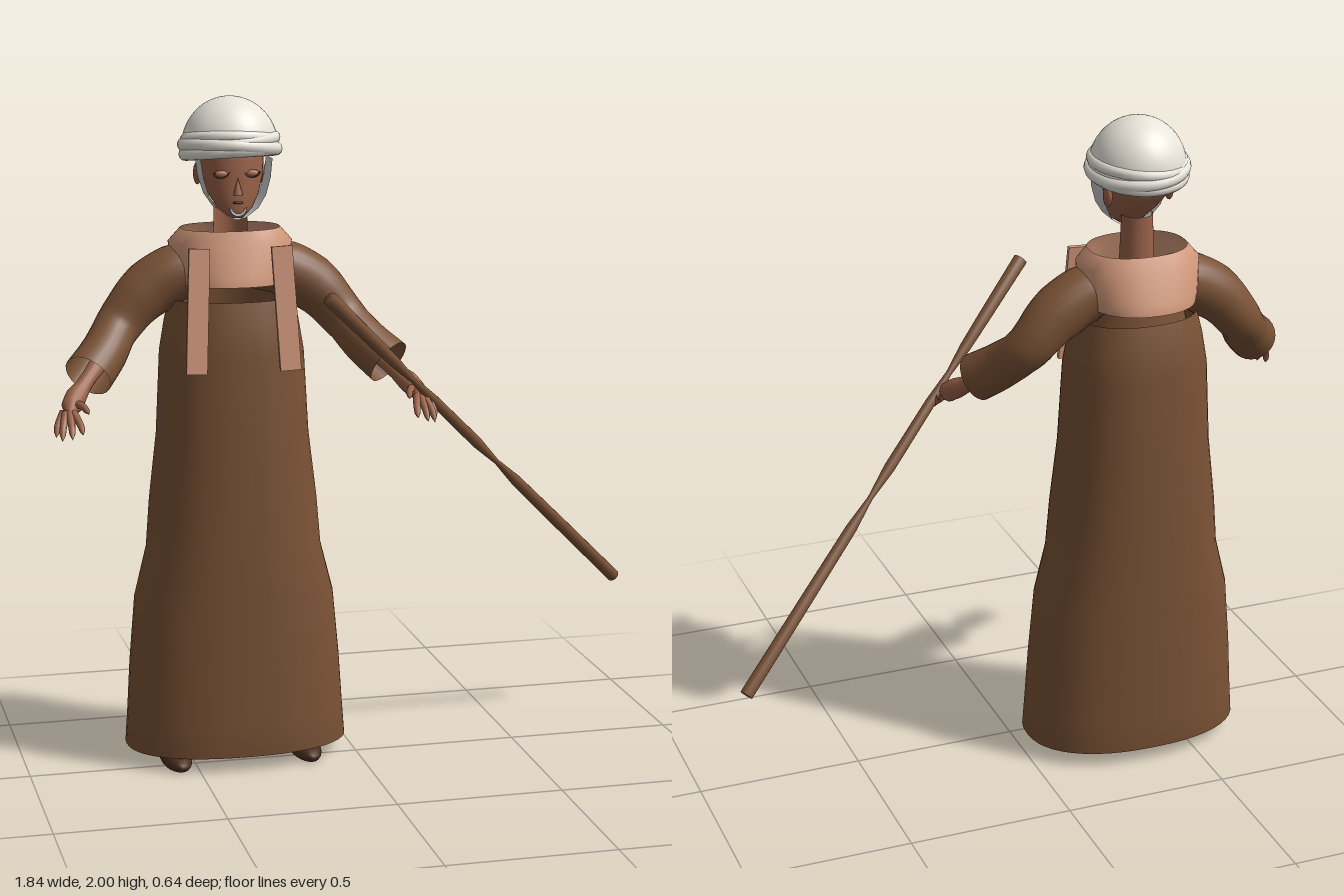
import * as THREE from 'three';

const V = (x, y, z) => new THREE.Vector3(x, y, z);
const COLORS = {
  robe: 0x7a5235, collar: 0xd49a7c, skin: 0x9a6248, cloth: 0xe8e4da,
  beard: 0xcfcfcf, shoe: 0x4a2e1f, wood: 0x7a5236, dark: 0x4a2a1c
};

function add(parent, name, geo, color) {
  const mat = new THREE.MeshStandardMaterial({ color: COLORS[color], side: THREE.DoubleSide });
  const mesh = new THREE.Mesh(geo, mat);
  mesh.name = name;
  parent.add(mesh);
  return mesh;
}

// Skin superellipse rings given as [y, halfWidth, zFront, zBack]
function loft(rows, { power = 2, seg = 40, capTop = false, capBottom = false } = {}) {
  const pos = [], idx = [];
  const bend = v => Math.sign(v) * Math.pow(Math.abs(v), 2 / power);
  for (const [y, hw, zf, zb] of rows) {
    for (let i = 0; i < seg; i++) {
      const a = (i / seg) * Math.PI * 2;
      pos.push(hw * bend(Math.cos(a)), y, (zf + zb) / 2 + (zf - zb) / 2 * bend(Math.sin(a)));
    }
  }
  for (let r = 0; r < rows.length - 1; r++) {
    for (let i = 0; i < seg; i++) {
      const a = r * seg + i, b = r * seg + (i + 1) % seg;
      idx.push(a, a + seg, b, b, a + seg, b + seg);
    }
  }
  const cap = (r, top) => {
    const c = pos.length / 3, [y, , zf, zb] = rows[r];
    pos.push(0, y, (zf + zb) / 2);
    for (let i = 0; i < seg; i++) {
      const a = r * seg + i, b = r * seg + (i + 1) % seg;
      if (top) idx.push(a, c, b); else idx.push(a, b, c);
    }
  };
  if (capTop) cap(rows.length - 1, true);
  if (capBottom) cap(0, false);
  const g = new THREE.BufferGeometry();
  g.setAttribute('position', new THREE.Float32BufferAttribute(pos, 3));
  g.setIndex(idx);
  g.computeVertexNormals();
  return g;
}

// Tube whose radius follows a list spread evenly along the path
function sweep(points, radii, n = 20, sides = 16) {
  const curve = new THREE.CatmullRomCurve3(points);
  const g = new THREE.TubeGeometry(curve, n, 1, sides);
  const p = g.attributes.position, v = V(0, 0, 0);
  for (let i = 0; i <= n; i++) {
    const c = curve.getPointAt(i / n);
    const t = (i / n) * (radii.length - 1), k = Math.min(Math.floor(t), radii.length - 2);
    const r = THREE.MathUtils.lerp(radii[k], radii[k + 1], t - k);
    for (let j = 0; j <= sides; j++) {
      const q = i * (sides + 1) + j;
      v.fromBufferAttribute(p, q).sub(c).multiplyScalar(r).add(c);
      p.setXYZ(q, v.x, v.y, v.z);
    }
  }
  return g;
}

function buildHead(figure) {
  const head = new THREE.Group();
  head.name = 'head';
  figure.add(head);
  add(head, 'face', loft([
    [1.655, 0.018, 0.012, -0.03], [1.68, 0.05, 0.014, -0.08], [1.72, 0.074, 0.012, -0.125],
    [1.77, 0.091, 0.01, -0.18], [1.82, 0.098, 0.008, -0.215], [1.89, 0.095, 0, -0.2]
  ], { power: 2.2, capTop: true, capBottom: true }), 'skin');
  const nose = add(head, 'nose', new THREE.ConeGeometry(0.014, 0.05, 10), 'skin');
  nose.position.set(0, 1.748, 0.014);
  const mouth = add(head, 'mouth', new THREE.SphereGeometry(0.018, 12, 8), 'dark');
  mouth.position.set(0, 1.7, 0.008);
  mouth.scale.set(1, 0.28, 0.5);
  const chin = add(head, 'chinBeard', new THREE.TorusGeometry(0.022, 0.004, 6, 20, Math.PI), 'beard');
  chin.position.set(0, 1.685, 0.016);
  chin.rotation.z = Math.PI;

  for (const s of [1, -1]) {
    const lid = add(head, 'closedEyelid', new THREE.SphereGeometry(0.022, 14, 10), 'skin');
    lid.position.set(s * 0.045, 1.782, -0.002);
    lid.scale.set(1.1, 0.55, 0.5);
    const lash = add(head, 'eyeLine', new THREE.TorusGeometry(0.024, 0.0025, 6, 16, Math.PI * 0.8), 'dark');
    lash.position.set(s * 0.045, 1.795, 0.005);
    lash.rotation.z = Math.PI * 1.1;
    lash.scale.y = 0.9;
    const ear = add(head, 'ear', new THREE.SphereGeometry(0.03, 14, 10), 'skin');
    ear.position.set(s * 0.096, 1.775, -0.11);
    ear.scale.set(0.4, 1.1, 0.75);

    // Thin side beard: rows of [x, y, zFront, zBack]
    const rows = [[0.106, 1.825, 0, -0.09], [0.099, 1.77, 0.006, -0.09], [0.084, 1.72, 0.01, -0.083],
      [0.06, 1.683, 0.014, -0.07], [0.022, 1.655, 0.014, -0.035], [0, 1.65, 0.014, -0.025]];
    const g = new THREE.PlaneGeometry(1, 1, 1, rows.length - 1);
    rows.forEach(([x, y, f, b], i) => {
      g.attributes.position.setXYZ(i * 2, s * x, y, s > 0 ? f : b);
      g.attributes.position.setXYZ(i * 2 + 1, s * x, y, s > 0 ? b : f);
    });
    g.computeVertexNormals();
    add(head, 'sideBeard', g, 'beard');
  }

  // Turban dome with overlapping rolls, lower at the back
  const dome = add(head, 'turbanDome', new THREE.SphereGeometry(0.143, 36, 14, 0, Math.PI * 2, 0, Math.PI / 2), 'cloth');
  dome.position.set(0, 1.85, -0.1);
  dome.scale.y = 0.15 / 0.143;
  const rolls = [[1.837, 0.131, 0.02, -0.12, 0.03], [1.852, 0.134, 0.021, -0.1, -0.07],
    [1.868, 0.13, 0.019, -0.05, 0.08], [1.872, 0.128, 0.018, -0.16, -0.04]];
  for (const [y, r, t, rx, rz] of rolls) {
    const roll = add(head, 'turbanRoll', new THREE.TorusGeometry(r, t, 12, 40).rotateX(Math.PI / 2), 'cloth');
    roll.position.set(0, y, -0.1);
    roll.rotation.set(rx, 0, rz);
  }
  const neck = add(figure, 'neck', new THREE.CylinderGeometry(0.048, 0.055, 0.2, 20, 1, true, Math.PI / 2, Math.PI), 'skin');
  neck.position.set(0, 1.61, -0.1);
}

function buildArm(figure, s) {
  const arm = new THREE.Group();
  arm.name = s > 0 ? 'leftArm' : 'rightArm';
  figure.add(arm);
  const P = a => a.map(([x, y, z]) => V(s * x, y, z));
  add(arm, 'sleeve', sweep(P([[0.08, 1.495, -0.115], [0.16, 1.485, -0.11], [0.26, 1.425, -0.11],
    [0.34, 1.335, -0.1], [0.395, 1.265, -0.035], [0.45, 1.212, 0.025]]),
    [0.07, 0.085, 0.085, 0.073, 0.066, 0.07, 0.073], 30, 24), 'robe');
  // Wrist and palm
  add(arm, 'hand', sweep(P([[0.42, 1.235, 0], [0.475, 1.18, 0.055], [0.505, 1.15, 0.095], [0.523, 1.115, 0.14]]),
    [0.026, 0.023, 0.024, 0.031, 0.03, 0], 20, 14), 'skin');
  // Base, knuckle and tip of each finger
  const fingers = [
    [[0.505, 1.15, 0.1], [0.482, 1.145, 0.15], [0.472, 1.13, 0.185]],
    [[0.51, 1.125, 0.13], [0.497, 1.1, 0.175], [0.493, 1.075, 0.205]],
    [[0.52, 1.125, 0.13], [0.522, 1.092, 0.18], [0.524, 1.062, 0.205]],
    [[0.53, 1.125, 0.125], [0.545, 1.09, 0.165], [0.55, 1.055, 0.185]],
    [[0.535, 1.125, 0.11], [0.557, 1.09, 0.138], [0.563, 1.06, 0.15]]
  ];
  fingers.forEach((f, i) => add(arm, i ? 'finger' : 'thumb',
    sweep(P(f), [0.013, 0.012, 0.011, 0.01, 0.009, 0], 12, 10), 'skin'));
}

export function createModel() {
  const model = new THREE.Group();
  model.name = 'robedFigureWithStaff';
  const figure = new THREE.Group();
  figure.name = 'figure';
  figure.position.x = -0.355;
  model.add(figure);

  // Long robe with a turned-in hem, open below
  add(figure, 'robe', loft([
    [0.13, 0.31, 0.09, -0.295], [0.045, 0.33, 0.107, -0.312], [0.045, 0.337, 0.115, -0.32],
    [0.14, 0.33, 0.113, -0.318], [0.3, 0.32, 0.107, -0.315], [0.5, 0.302, 0.1, -0.31],
    [0.65, 0.264, 0.095, -0.305], [0.8, 0.252, 0.088, -0.3], [1, 0.228, 0.08, -0.292],
    [1.25, 0.215, 0.068, -0.28], [1.34, 0.2, 0.055, -0.265], [1.41, 0.183, 0.04, -0.245]
  ], { power: 2.3, seg: 48 }), 'robe');

  // Undershirt across the back of the shoulders
  const yoke = add(figure, 'upperBack', new THREE.CylinderGeometry(0.12, 0.16, 0.2, 24, 1, true, Math.PI / 2, Math.PI), 'robe');
  yoke.position.set(0, 1.46, -0.1);
  yoke.scale.z = 0.78;

  // Wide open collar
  add(figure, 'collar', loft([
    [1.455, 0.165, 0.05, -0.285], [1.485, 0.172, 0.045, -0.28], [1.575, 0.184, 0.018, -0.242],
    [1.615, 0.148, 0.005, -0.222]
  ], { power: 2.3 }), 'collar');

  buildHead(figure);

  for (const s of [1, -1]) {
    buildArm(figure, s);
    // Hanging strap
    const strap = add(figure, 'strap', new THREE.BoxGeometry(0.062, 0.365, 0.014), 'collar');
    strap.position.set(s * 0.131, 1.392, 0.06);
    strap.rotation.set(-0.09, 0, s * 0.05);
    // Shoe: flattened along its sole
    const g = new THREE.SphereGeometry(1, 24, 14);
    const p = g.attributes.position;
    for (let i = 0; i < p.count; i++) p.setY(i, Math.max(p.getY(i), -0.5));
    g.computeVertexNormals();
    const shoe = add(figure, 'shoe', g, 'shoe');
    shoe.scale.set(0.046, 0.034, 0.125);
    shoe.position.set(s * 0.2, 0.017, -0.03);
  }

  // Staff with two pinched places
  const profile = [[0, 0], [0.022, 0], [0.019, 0.15], [0.017, 0.21], [0.009, 0.27], [0.016, 0.34],
    [0.017, 0.49], [0.008, 0.56], [0.017, 0.63], [0.019, 0.8], [0.02, 1], [0, 1]];
  const a = V(-0.15, 1.455, 0.3), b = V(0.905, 0.435, -0.23);
  const dir = b.clone().sub(a), len = dir.length();
  const staff = add(model, 'staff', new THREE.LatheGeometry(
    profile.map(([r, t]) => new THREE.Vector2(r, t * len)), 14), 'wood');
  staff.position.copy(a);
  staff.quaternion.setFromUnitVectors(V(0, 1, 0), dir.normalize());
  return model;
}
